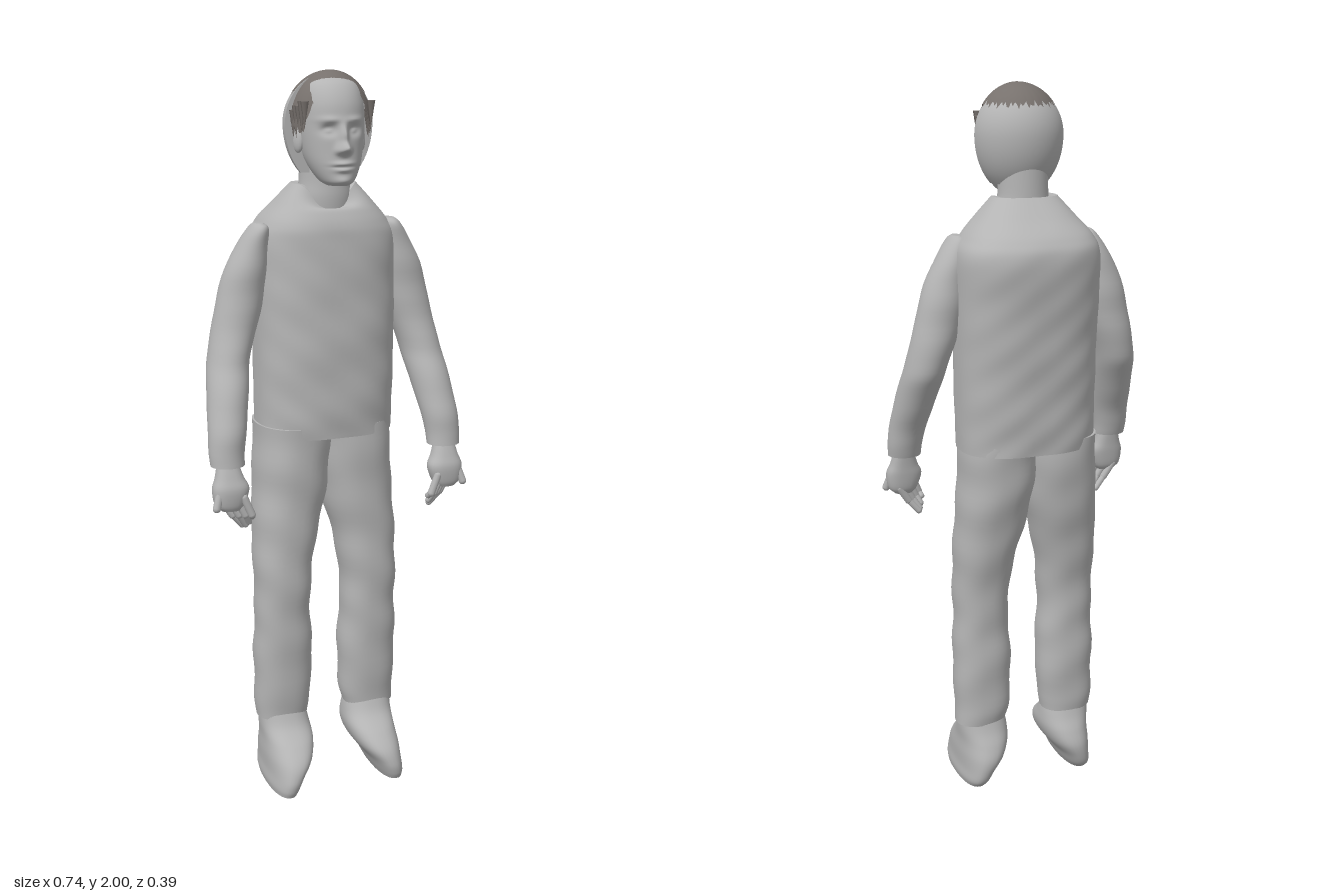
import * as THREE from 'three';

const body = new THREE.MeshStandardMaterial({ color: 0xb4b4b4 });
body.name = 'light grey';
const hairMat = new THREE.MeshStandardMaterial({ color: 0x77716d, side: THREE.DoubleSide });
hairMat.name = 'brown grey';
const shellMat = body;

// Grid of points closed around each ring, rings running upwards
function skin(rings, around, point, caps = true) {
  const pos = [], idx = [];
  for (let i = 0; i <= rings; i++)
    for (let j = 0; j < around; j++) pos.push(...point(i / rings, (j / around) * Math.PI * 2));
  for (let i = 0; i < rings; i++)
    for (let j = 0; j < around; j++) {
      const a = i * around + j, b = i * around + (j + 1) % around;
      idx.push(a, a + around, b, b, a + around, b + around);
    }
  if (caps) for (const row of [0, rings]) {
    const ring = pos.slice(row * around * 3, (row + 1) * around * 3);
    const start = pos.length / 3, mid = [0, 0, 0];
    ring.forEach((v, k) => { mid[k % 3] += v / around; });
    pos.push(...ring, ...mid);
    for (let j = 0; j < around; j++) {
      const a = start + j, b = start + (j + 1) % around, c = start + around;
      idx.push(...(row === 0 ? [c, a, b] : [c, b, a]));
    }
  }
  const g = new THREE.BufferGeometry();
  g.setAttribute('position', new THREE.Float32BufferAttribute(pos, 3));
  g.setIndex(idx);
  g.computeVertexNormals();
  return g;
}

// Smooth loft through sections [y, xMin, xMax, zMin, zMax]; side -1 mirrors x
function loft(sections, { side = 1, n = 2, rings = 40, around = 40, shape = (p) => p } = {}) {
  const curve = (x, z) => new THREE.CatmullRomCurve3(
    sections.map((s) => new THREE.Vector3(s[x], s[0], s[z])), false, 'catmullrom', 0.5);
  const lo = curve(1, 3), hi = curve(2, 4);
  const pw = (v) => Math.sign(v) * Math.abs(v) ** (2 / n);
  return skin(rings, around, (t, a) => {
    const p = lo.getPoint(t), q = hi.getPoint(t);
    const ang = a * side + (side < 0 ? Math.PI : 0);
    const x = (p.x + q.x) / 2 + (q.x - p.x) / 2 * pw(Math.cos(ang));
    const z = (p.z + q.z) / 2 + (q.z - p.z) / 2 * pw(Math.sin(ang));
    return shape([side * x, p.y, z], t, Math.sin(ang));
  });
}

const bump = (x, y, x0, y0, sx, sy, h) =>
  h * Math.exp(-(((x - x0) / sx) ** 2) - ((y - y0) / sy) ** 2);

// Facial relief pushed along z on the front of the head
function face([x, y, z]) {
  if (z < 0.07) return [x, y, z];
  const ax = Math.abs(x);
  const d = bump(x, y, 0, 1.808, 0.014, 0.014, 0.036) + bump(x, y, 0, 1.84, 0.011, 0.026, 0.02)
    + bump(ax, y, 0.014, 1.802, 0.008, 0.008, 0.01)
    + bump(ax, y, 0.034, 1.853, 0.019, 0.013, -0.015) + bump(ax, y, 0.034, 1.851, 0.01, 0.006, 0.008)
    + bump(ax, y, 0.034, 1.878, 0.026, 0.008, 0.006)
    + bump(x, y, 0, 1.769, 0.024, 0.006, 0.009) + bump(x, y, 0, 1.753, 0.02, 0.006, 0.008)
    + bump(x, y, 0, 1.761, 0.026, 0.003, -0.004) + bump(x, y, 0, 1.725, 0.022, 0.011, 0.007);
  return [x, y, z + d];
}

export function createModel() {
  const root = new THREE.Group();
  const add = (name, geo, mat = body, parent = root) => {
    const m = new THREE.Mesh(geo, mat);
    m.name = name;
    parent.add(m);
    return m;
  };
  const rod = (name, a, b, r, parent) => {
    const va = new THREE.Vector3(...a), d = new THREE.Vector3(...b).sub(va);
    const m = add(name, new THREE.CapsuleGeometry(r, d.length(), 4, 10), body, parent);
    m.position.copy(va).addScaledVector(d, 0.5);
    m.quaternion.setFromUnitVectors(new THREE.Vector3(0, 1, 0), d.normalize());
  };

  // Shirt, with creases and a dipped front neckline
  add('shirt', loft([
    [1.03, -0.185, 0.198, -0.155, 0.12], [1.12, -0.185, 0.2, -0.16, 0.125],
    [1.3, -0.185, 0.203, -0.172, 0.128], [1.45, -0.187, 0.205, -0.185, 0.125],
    [1.56, -0.185, 0.205, -0.195, 0.122], [1.61, -0.168, 0.182, -0.175, 0.115],
    [1.66, -0.128, 0.138, -0.12, 0.09], [1.71, -0.086, 0.09, -0.065, 0.06],
  ], { n: 2.5, rings: 70, around: 72, shape: ([x, y, z], t, s) => {
    const crease = 0.003 * Math.sin(y * 47 + x * 16) * Math.sin(x * 29 + y * 13) * (1 - t);
    const dip = 0.055 * Math.max(0, s) ** 5 * THREE.MathUtils.smoothstep(t, 0.8, 1);
    return [x, y - dip, z + crease * Math.sign(z)];
  } }));

  // Neck and head
  add('neck', loft([
    [1.6, -0.07, 0.075, -0.06, 0.07], [1.67, -0.072, 0.077, -0.06, 0.075],
    [1.72, -0.066, 0.07, -0.058, 0.072], [1.8, -0.064, 0.068, -0.055, 0.07],
  ]));
  add('head', loft([
    [1.712, -0.026, 0.03, 0.07, 0.145], [1.725, -0.044, 0.048, 0.04, 0.156],
    [1.76, -0.064, 0.068, 0, 0.158], [1.8, -0.076, 0.08, -0.03, 0.156],
    [1.86, -0.083, 0.088, -0.05, 0.154], [1.92, -0.082, 0.086, -0.05, 0.146],
    [1.965, -0.066, 0.07, -0.03, 0.12], [1.988, -0.03, 0.03, 0.01, 0.08],
  ], { n: 2.1, rings: 100, around: 110, shape: face }));
  for (const s of [-1, 1]) {
    const ear = add('ear', new THREE.SphereGeometry(1, 16, 12));
    ear.scale.set(0.012, 0.034, 0.02);
    ear.position.set(0.003 + s * 0.088, 1.825, 0.045);
    ear.rotation.set(-0.15, s * -0.35, 0);
  }

  // Rounded half shell around the back of the head, flat at the front
  add('headBack', skin(36, 64, (t, a) => {
    const y = 1.74 + 0.252 * (1 - (1 - t) ** 2);
    const up = (y - 1.865) / 0.129;
    const r = Math.max(0.02, Math.sqrt(Math.max(0, 1 - (up < 0 ? 0.62 : 1) * up * up)));
    const z = Math.sin(a);
    return [0.002 + 0.122 * r * Math.cos(a), y, 0.045 + (z < 0 ? 0.117 * r * z : 0)];
  }), shellMat);

  // Hair cap with a ragged hairline: high on the forehead, long at the temples
  add('hair', skin(18, 120, (t, a) => {
    const c = Math.cos(a), s = Math.sin(a), j = Math.round(a / (Math.PI * 2) * 120);
    const rag = 0.007 * Math.sin(j * 2.4) + 0.004 * Math.sin(j * 1.1);
    const temple = Math.exp(-(((Math.abs(c) - 0.9) / 0.2) ** 2));
    const low = s > -0.02 ? 1.958 - 0.112 * temple : 1.945;
    const up = Math.min(1, (low + rag - 1.865) / 0.135);
    const phi = THREE.MathUtils.lerp(Math.asin(up), Math.PI / 2, t);
    const r = Math.cos(phi);
    const rx = s > -0.02 ? 0.109 : 0.122, rz = s > 0 ? 0.098 : 0.121;
    return [0.004 + rx * r * c, 1.865 + 0.135 * Math.sin(phi), 0.045 + rz * r * s];
  }, false), hairMat);

  // Side locks hanging beside the face
  for (const s of [-1, 1])
    for (let i = 0; i < 5; i++) {
      const lock = add('hairLock', new THREE.ConeGeometry(0.011, 0.07 + 0.012 * (i % 2), 6), hairMat);
      lock.rotation.x = Math.PI;
      lock.position.set(0.003 + s * (0.103 - 0.003 * i), 1.865 + 0.006 * i, 0.055 + i * 0.013);
    }

  for (const s of [-1, 1]) {
    const side = s > 0 ? 'left' : 'right';

    // Trouser leg
    add(side + 'TrouserLeg', loft([
      [0.19, 0.06, 0.208, -0.045, 0.075], [0.25, 0.05, 0.21, -0.052, 0.08],
      [0.4, 0.045, 0.212, -0.057, 0.09], [0.5, 0.052, 0.208, -0.056, 0.094],
      [0.6, 0.05, 0.208, -0.062, 0.1], [0.72, 0.033, 0.208, -0.085, 0.1],
      [0.84, 0.003, 0.202, -0.112, 0.102], [0.95, -0.012, 0.195, -0.132, 0.108],
      [1.06, -0.02, 0.19, -0.14, 0.11],
    ], { side: s, n: 2.3, shape: ([x, y, z]) =>
      [x + 0.002 * Math.sin(y * 45), y, z + 0.002 * Math.sin(y * 38 + x * 20)] }));

    // Shoe, rolled onto its outer edge
    add(side + 'Shoe', loft([
      [0, 0.125, 0.2, -0.055, 0.185], [0.02, 0.115, 0.203, -0.075, 0.193],
      [0.05, 0.1, 0.2, -0.085, 0.195], [0.09, 0.07, 0.2, -0.088, 0.182],
      [0.13, 0.056, 0.198, -0.075, 0.145], [0.17, 0.058, 0.2, -0.055, 0.095],
      [0.22, 0.068, 0.2, -0.038, 0.068],
    ], { side: s, n: 2.3 }));

    // Sleeve bending forward at the elbow
    add(side + 'Sleeve', loft([
      [0.99, 0.268, 0.36, 0.082, 0.165], [1.03, 0.265, 0.362, 0.07, 0.163],
      [1.1, 0.252, 0.357, 0.04, 0.152], [1.2, 0.232, 0.345, -0.015, 0.118],
      [1.27, 0.218, 0.332, -0.045, 0.09], [1.38, 0.182, 0.308, -0.052, 0.07],
      [1.48, 0.165, 0.282, -0.05, 0.068], [1.56, 0.16, 0.24, -0.038, 0.065],
      [1.6, 0.162, 0.212, -0.025, 0.06], [1.612, 0.175, 0.198, -0.005, 0.04],
    ], { side: s, shape: ([x, y, z]) => [x, y, z + 0.0015 * Math.sin(y * 60)] }));

    // Hand with curled fingers and a thumb
    const hand = new THREE.Group();
    hand.name = side + 'Hand';
    root.add(hand);
    add('palm', loft([
      [0.872, 0.288, 0.34, 0.125, 0.165], [0.89, 0.274, 0.357, 0.115, 0.172],
      [0.93, 0.262, 0.362, 0.108, 0.175], [0.96, 0.275, 0.352, 0.105, 0.165],
      [1.0, 0.288, 0.342, 0.1, 0.15],
    ], { side: s, rings: 16, around: 24, n: 2.4 }), body, hand);
    for (let i = 0; i < 4; i++) {
      const knuckle = [s * (0.33 - 0.016 * i), 0.89 + 0.006 * i, 0.125 + 0.013 * i];
      const bend = [s * (0.304 - 0.014 * i), 0.85 + 0.003 * i, 0.128 + 0.013 * i];
      const tip = [s * (0.276 - 0.006 * i), 0.818 + 0.007 * i * i / 2, 0.122 + 0.011 * i];
      rod('finger', knuckle, bend, 0.0105, hand);
      rod('fingertip', bend, tip, 0.009, hand);
    }
    rod('thumb', [s * 0.345, 0.925, 0.155], [s * 0.358, 0.885, 0.165], 0.011, hand);
  }
  return root;
}
